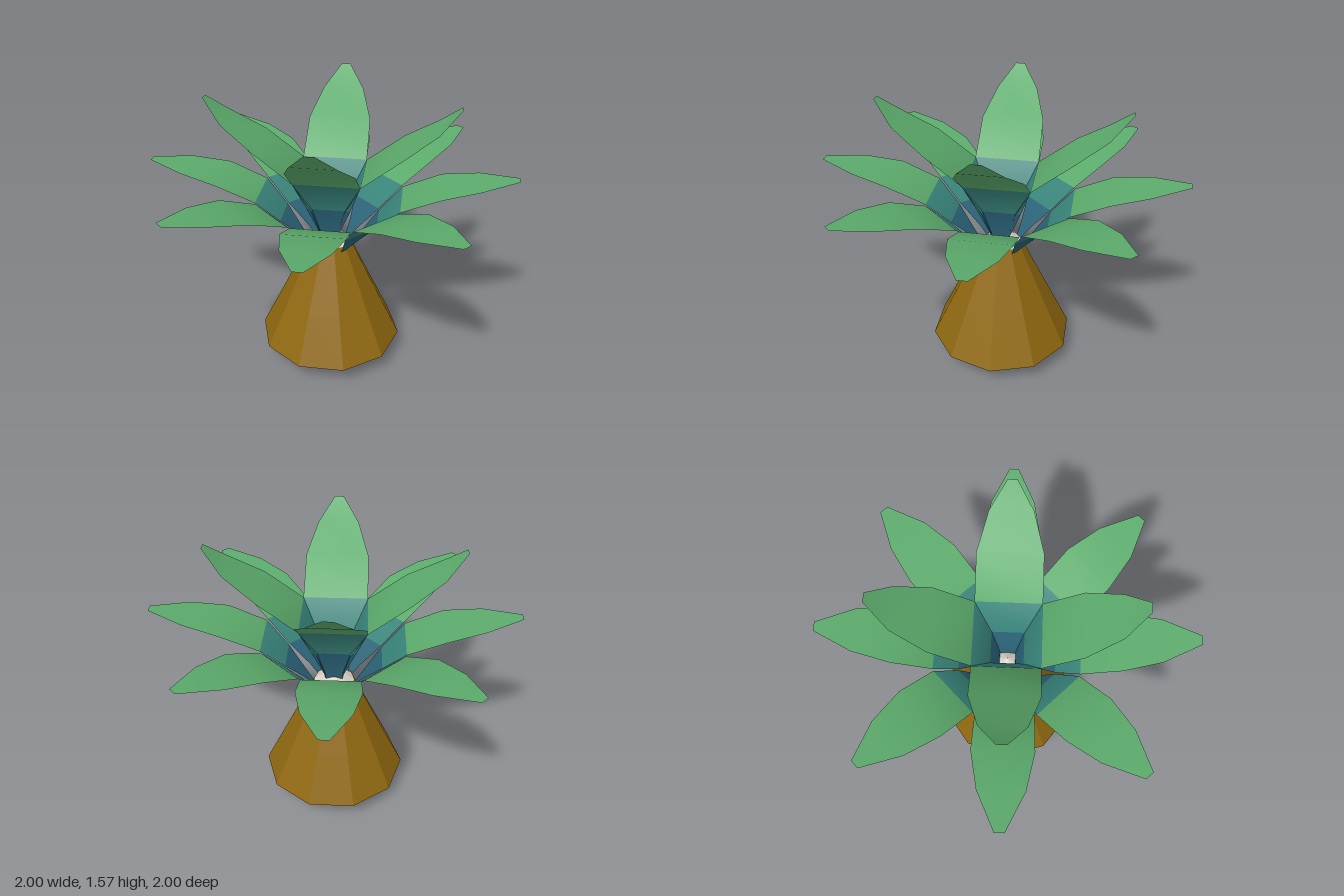
import * as THREE from 'three';

const makeMaterial = (name, color, extra = {}) => {
  const m = new THREE.MeshStandardMaterial({ color, ...extra });
  m.name = name;
  return m;
};

// Ribbon leaf along +z. Each row is [radius, height, half width], base to tip.
function leafGeometry(rows) {
  const positions = [];
  const indices = [];
  const geometry = new THREE.BufferGeometry();
  rows.forEach(([r, y, w], i) => {
    positions.push(-w, y, r, w, y, r);
    if (i < rows.length - 1) {
      const a = i * 2;
      indices.push(a, a + 2, a + 3, a, a + 3, a + 1);
    }
  });
  // wind so the upper side is the front
  for (let i = 0; i < indices.length; i += 3) {
    [indices[i + 1], indices[i + 2]] = [indices[i + 2], indices[i + 1]];
  }
  geometry.setAttribute('position', new THREE.Float32BufferAttribute(positions, 3));
  geometry.setIndex(indices);
  geometry.computeVertexNormals();
  // two base bands, one middle band, the rest is blade
  geometry.addGroup(0, 12, 0);
  geometry.addGroup(12, 6, 1);
  geometry.addGroup(18, indices.length - 18, 2);
  if (rows.length === 7) {
    geometry.clearGroups();
    geometry.addGroup(0, 12, 0);
    geometry.addGroup(12, 6, 1);
    geometry.addGroup(18, 18, 2);
  }
  return geometry;
}

export function createModel() {
  const group = new THREE.Group();
  group.name = 'leafyPlant';

  const bark = makeMaterial('bark brown', 0x8f6810);
  const core = makeMaterial('core cream', 0xd8d0c4);
  const leafMaterials = [
    makeMaterial('leaf base blue', 0x2a6377, { side: THREE.DoubleSide }),
    makeMaterial('leaf middle teal', 0x38847a, { side: THREE.DoubleSide }),
    makeMaterial('leaf blade green', 0x5cab6c, { side: THREE.DoubleSide }),
  ];
  bark.flatShading = true;
  core.flatShading = true;

  // Ten-sided bulbous trunk with a closed base
  const profile = [[0, 0], [0.24, 0], [0.415, 0.125], [0.283, 0.4], [0.115, 0.755]];
  const trunkGeometry = new THREE.LatheGeometry(profile.map(([x, y]) => new THREE.Vector2(x, y)), 10);
  trunkGeometry.rotateY(Math.PI / 2);
  const trunk = new THREE.Mesh(trunkGeometry, bark);
  trunk.name = 'trunk';
  group.add(trunk);

  // Pale pointed core closing the trunk
  const coreGeometry = new THREE.ConeGeometry(0.115, 0.07, 10);
  coreGeometry.rotateY(Math.PI / 2);
  const coreMesh = new THREE.Mesh(coreGeometry, core);
  coreMesh.name = 'core';
  coreMesh.position.y = 0.79;
  group.add(coreMesh);

  // Rings of leaves
  const addRing = (name, count, rows) => {
    const geometry = leafGeometry(rows);
    const ring = new THREE.Group();
    ring.name = name + 's';
    for (let i = 0; i < count; i++) {
      const leaf = new THREE.Mesh(geometry, leafMaterials);
      leaf.name = name;
      leaf.rotation.y = (i / count) * Math.PI * 2;
      ring.add(leaf);
    }
    group.add(ring);
  };

  addRing('outerLeaf', 8, [
    [0.11, 0.72, 0.012], [0.165, 0.79, 0.04], [0.265, 0.91, 0.105],
    [0.39, 1.04, 0.155], [0.6, 1.13, 0.16], [0.8, 1.17, 0.12], [1.0, 1.197, 0.025],
  ]);
  addRing('innerLeaf', 4, [
    [0.035, 0.72, 0.03], [0.047, 0.82, 0.055], [0.09, 0.99, 0.12],
    [0.18, 1.18, 0.18], [0.385, 1.34, 0.175], [0.56, 1.46, 0.115], [0.67, 1.57, 0.025],
  ]);

  return group;
}
